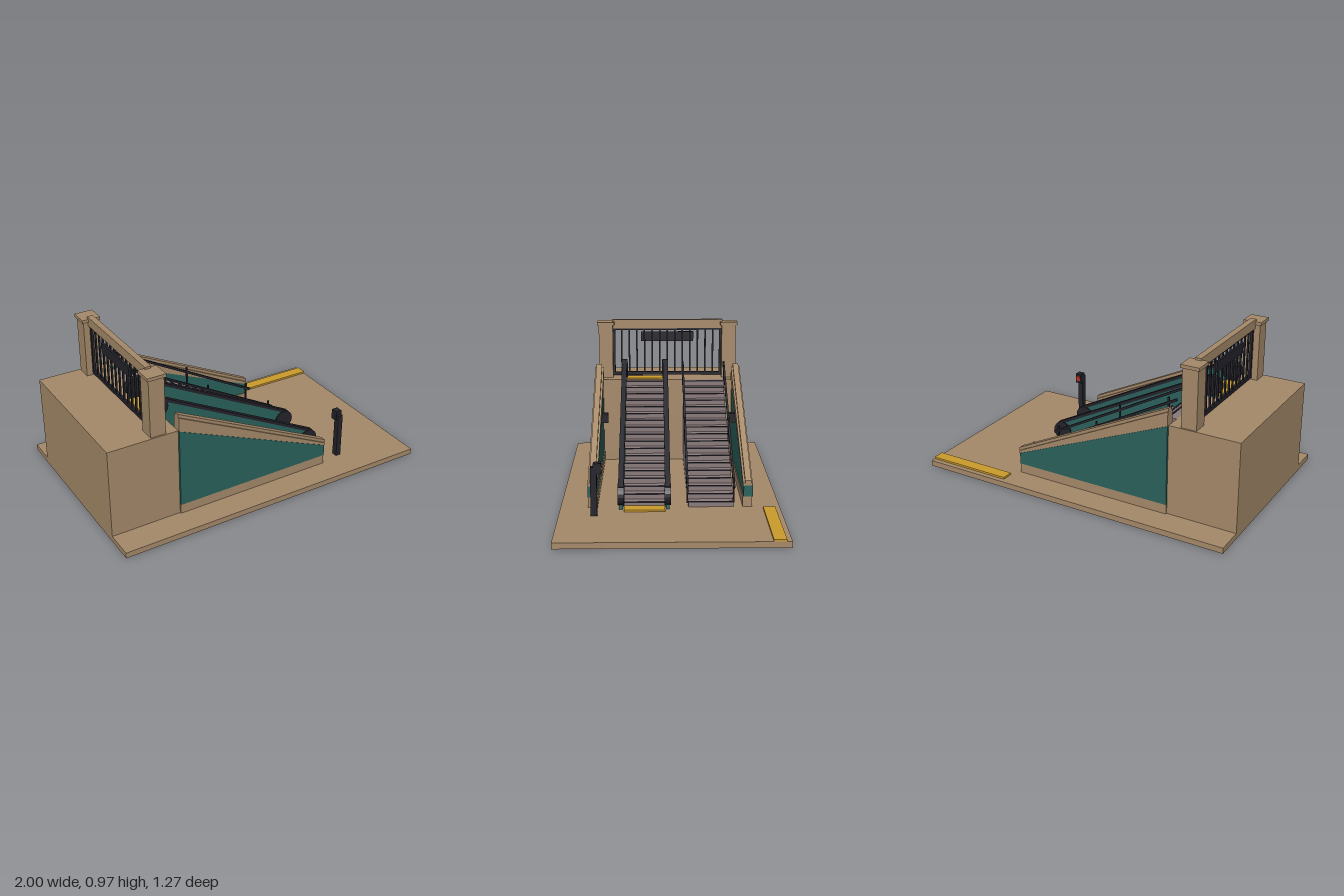
import * as THREE from 'three';

const mat = (color) => new THREE.MeshStandardMaterial({ color, flatShading: true });

export function createModel() {
  const group = new THREE.Group();
  const stone = mat(0xa68a6a), teal = mat(0x2b625c), dark = mat(0x23232b);
  const tread = mat(0x8a7a7a), yellow = mat(0xcc9c2c), red = mat(0xc03020);

  const add = (name, geo, m) => {
    const mesh = new THREE.Mesh(geo, m);
    mesh.name = name;
    group.add(mesh);
    return mesh;
  };
  // Box given by its minimum and maximum on each axis
  const box = (name, m, x0, x1, y0, y1, z0, z1) => {
    const mesh = add(name, new THREE.BoxGeometry(x1 - x0, y1 - y0, z1 - z0), m);
    mesh.position.set((x0 + x1) / 2, (y0 + y1) / 2, (z0 + z1) / 2);
    return mesh;
  };
  // Side profile (x, y) extruded from z0 to z1
  const slab = (name, m, pts, z0, z1) => {
    const shape = new THREE.Shape(pts.map(([x, y]) => new THREE.Vector2(x, y)));
    const geo = new THREE.ExtrudeGeometry(shape, { depth: z1 - z0, bevelEnabled: false });
    const mesh = add(name, geo, m);
    mesh.position.z = z0;
    return mesh;
  };
  // Straight bar between two side-view points
  const bar = (name, m, [x0, y0], [x1, y1], z, height, width) => {
    const mesh = add(name, new THREE.BoxGeometry(Math.hypot(x1 - x0, y1 - y0), height, width), m);
    mesh.position.set((x0 + x1) / 2, (y0 + y1) / 2, z);
    mesh.rotation.z = Math.atan2(y1 - y0, x1 - x0);
    return mesh;
  };

  const LOW = 0.035, HIGH = 0.585, X0 = -0.57, X1 = 0.43;
  const stepY = (x) => HIGH + (x - X0) * (LOW - HIGH) / (X1 - X0);

  // Ground slab, upper landing and floor strip
  box('groundSlab', stone, -1, 1, 0, LOW, -0.635, 0.635);
  box('upperLanding', stone, -1, X0, LOW, HIGH, -0.465, 0.465);
  box('floorStrip', yellow, 0.465, 1, LOW, 0.047, -0.605, -0.535);

  // Mirrored side walls, lamps and gate pillars
  for (const s of [1, -1]) {
    const span = (a, b) => (s > 0 ? [a, b] : [-b, -a]);
    slab('wallPlinth', stone, [[X0, LOW], [X1, LOW], [X1, 0.095], [X0, 0.095]], ...span(0.42, 0.475));
    slab('wallPanel', teal, [[X0, 0.095], [X1, 0.095], [X1, 0.165], [X0, HIGH]], ...span(0.425, 0.478));
    slab('wallCoping', stone, [[X0, HIGH], [X1 + 0.005, 0.163], [X1 + 0.005, 0.18], [X0, 0.67]], ...span(0.42, 0.476));
    slab('copingCap', stone, [[X0, 0.67], [X1 + 0.01, 0.177], [X1 + 0.01, 0.197], [X0, 0.69]], ...span(0.432, 0.468));
    box('wallLamp', dark, -0.24, -0.2, 0.38, 0.44, ...span(0.38, 0.425));
    box('gatePillar', stone, -0.735, -0.64, HIGH, 0.94, ...span(0.362, 0.455));
    box('pillarCap', stone, -0.745, -0.632, 0.937, 0.957, ...span(0.352, 0.465));
  }

  // Gate with lintel, railing and sign board
  box('gateLintel', stone, -0.707, -0.67, 0.912, 0.97, -0.367, 0.367);
  box('gateTopRail', dark, -0.698, -0.68, 0.9, 0.913, -0.362, 0.362);
  box('gateBottomRail', dark, -0.698, -0.68, 0.595, 0.616, -0.362, 0.362);
  for (let i = 0; i < 15; i++) {
    const z = -0.355 + i * 0.71 / 14;
    const w = i % 14 === 0 ? 0.008 : 0.005;
    box('gateBar', dark, -0.689 - w, -0.689 + w, 0.6, 0.905, z - w, z + w);
  }
  box('signBoard', dark, -0.714, -0.7, 0.822, 0.885, -0.175, 0.175);

  // A flight of steps with dark nosings
  const flight = (name, z0, z1) => {
    const n = 18, run = (X1 - X0) / n, rise = (HIGH - LOW) / n;
    const pts = [[X0, LOW]];
    for (let i = 0; i < n; i++) {
      const y = HIGH - i * rise;
      pts.push([X0 + i * run, y], [X0 + (i + 1) * run, y]);
      const x = X0 + (i + 1) * run;
      box(name + 'Nosing', dark, x - 0.01, x + 0.002, y - 0.004, y + 0.002, z0, z1);
    }
    pts.push([X1, LOW]);
    slab(name, tread, pts.reverse(), z0, z1);
  };
  flight('escalatorSteps', 0.027, 0.27);
  flight('stairSteps', -0.368, -0.105);

  // Escalator landing plates
  box('upperLandingPlate', yellow, -0.655, X0, HIGH, 0.594, 0.03, 0.267);
  box('lowerLandingPlate', yellow, X1, 0.512, LOW, 0.045, 0.03, 0.267);

  // Escalator balustrades, handrails and rounded newel ends
  for (const z of [0.015, 0.284]) {
    slab('balustrade', teal, [[X0, LOW], [0.47, LOW], [0.46, 0.16], [-0.585, 0.702],
      [-0.64, 0.66], [-0.64, HIGH], [X0, HIGH]], z - 0.011, z + 0.011);
    bar('handrail', dark, [-0.577, 0.703], [0.465, 0.163], z, 0.018, 0.032);
    for (const [x, y] of [[-0.603, 0.655], [0.437, 0.115]]) {
      const disc = add('handrailEnd', new THREE.CylinderGeometry(0.062, 0.062, 0.038, 20), dark);
      disc.rotation.x = Math.PI / 2;
      disc.position.set(x, y, z);
    }
  }

  // Stair handrails on posts
  for (const z of [-0.1, -0.37]) {
    bar('stairRail', dark, [X0, stepY(X0) + 0.117], [X1, stepY(X1) + 0.117], z, 0.014, 0.013);
    for (const x of [-0.52, -0.05, 0.4]) {
      box('stairRailPost', dark, x - 0.005, x + 0.005, stepY(x), stepY(x) + 0.15, z - 0.005, z + 0.005);
    }
  }

  // Free-standing reader post
  box('readerPost', dark, 0.547, 0.58, LOW, 0.32, 0.415, 0.452);
  box('readerHead', dark, 0.543, 0.583, 0.28, 0.343, 0.39, 0.435);
  box('readerLight', red, 0.55, 0.576, 0.296, 0.328, 0.387, 0.391);

  return group;
}
